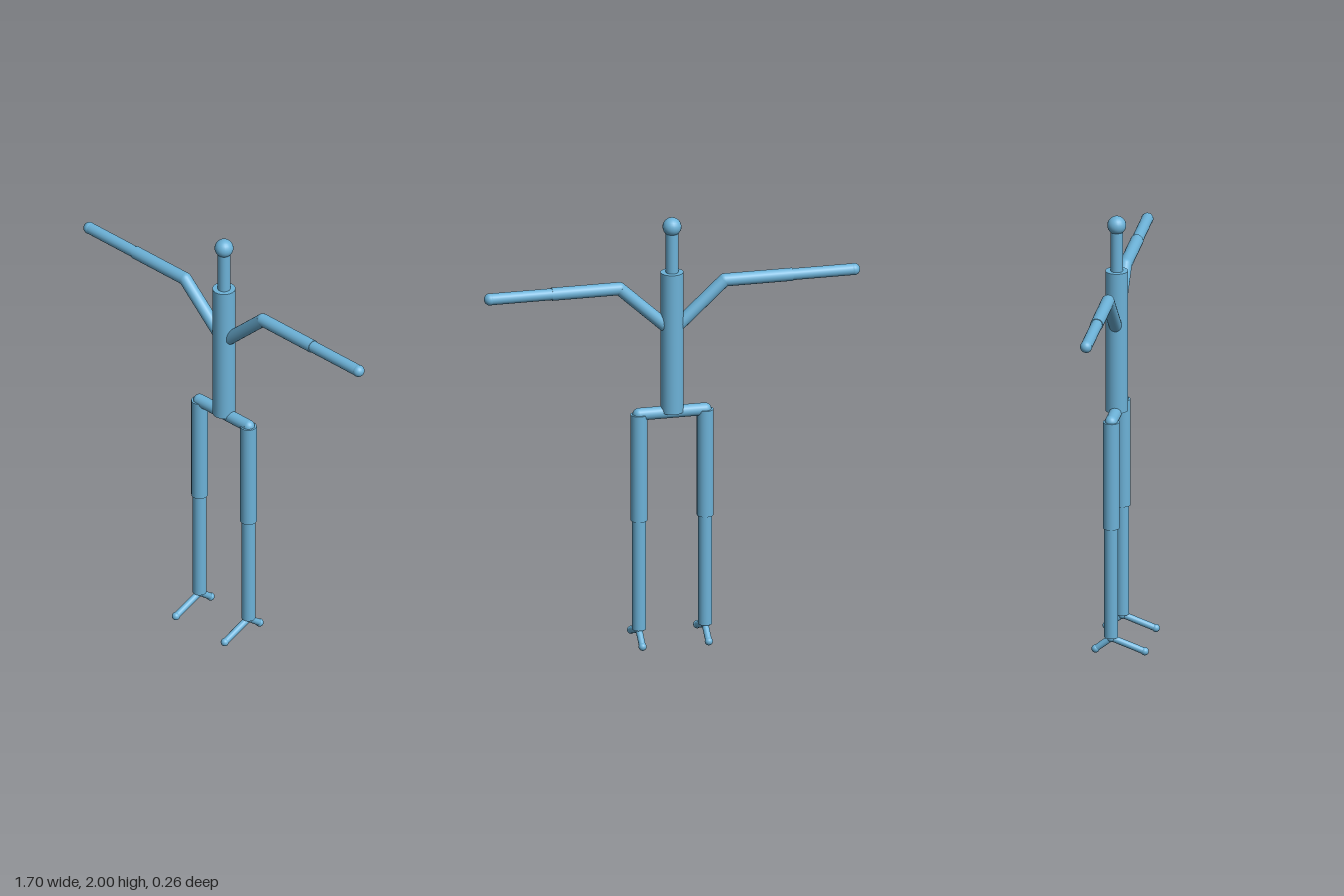
import * as THREE from 'three';

export function createModel() {
  const group = new THREE.Group();
  group.name = 'stickFigure';
  const blue = new THREE.MeshStandardMaterial({ color: 0x6db3d9 });
  blue.name = 'skyBlue';
  const Z = -0.04; // depth of the body plane

  // straight capped bone between two points
  const bone = (name, a, b, r) => {
    const p = new THREE.Vector3(...a), q = new THREE.Vector3(...b);
    const dir = q.clone().sub(p);
    const mesh = new THREE.Mesh(new THREE.CylinderGeometry(r, r, dir.length(), 20), blue);
    mesh.position.copy(p).add(q).multiplyScalar(0.5);
    mesh.quaternion.setFromUnitVectors(new THREE.Vector3(0, 1, 0), dir.normalize());
    mesh.name = name;
    group.add(mesh);
  };
  // round joint
  const ball = (name, p, r) => {
    const mesh = new THREE.Mesh(new THREE.SphereGeometry(r, 20, 14), blue);
    mesh.position.set(...p);
    mesh.name = name;
    group.add(mesh);
  };

  // spine and head
  bone('torso', [0, 1.09, Z], [0, 1.745, Z], 0.051);
  bone('neck', [0, 1.745, Z], [0, 1.95, Z], 0.028);
  ball('head', [0, 1.958, Z], 0.042);

  for (const [side, s] of [['left', 1], ['right', -1]]) {
    // arm
    const shoulder = [s * 0.238, 1.687, Z];
    const elbow = [s * 0.545, 1.687, Z];
    const hand = [s * 0.825, 1.687, Z];
    bone(side + 'Collarbone', [0, 1.467, Z], shoulder, 0.029);
    ball(side + 'Shoulder', shoulder, 0.029);
    bone(side + 'UpperArm', shoulder, elbow, 0.029);
    bone(side + 'Forearm', elbow, hand, 0.026);
    ball(side + 'Hand', hand, 0.027);

    // leg
    const x = s * 0.15;
    const hip = [x, 1.088, Z], knee = [x, 0.59, Z], ankle = [x, 0.078, Z];
    bone(side + 'Pelvis', [0, 1.088, Z], hip, 0.028);
    ball(side + 'Hip', hip, 0.028);
    bone(side + 'Thigh', hip, knee, 0.037);
    bone(side + 'Shin', knee, ankle, 0.031);
    ball(side + 'Ankle', [x, 0.074, Z], 0.02);

    // foot
    const toe = [x, 0.019, 0.11], heel = [x, 0.019, -0.11];
    bone(side + 'Foot', [x, 0.074, Z], toe, 0.015);
    ball(side + 'Toe', toe, 0.018);
    bone(side + 'HeelBone', [x, 0.074, Z], heel, 0.015);
    ball(side + 'Heel', heel, 0.018);
  }
  return group;
}
